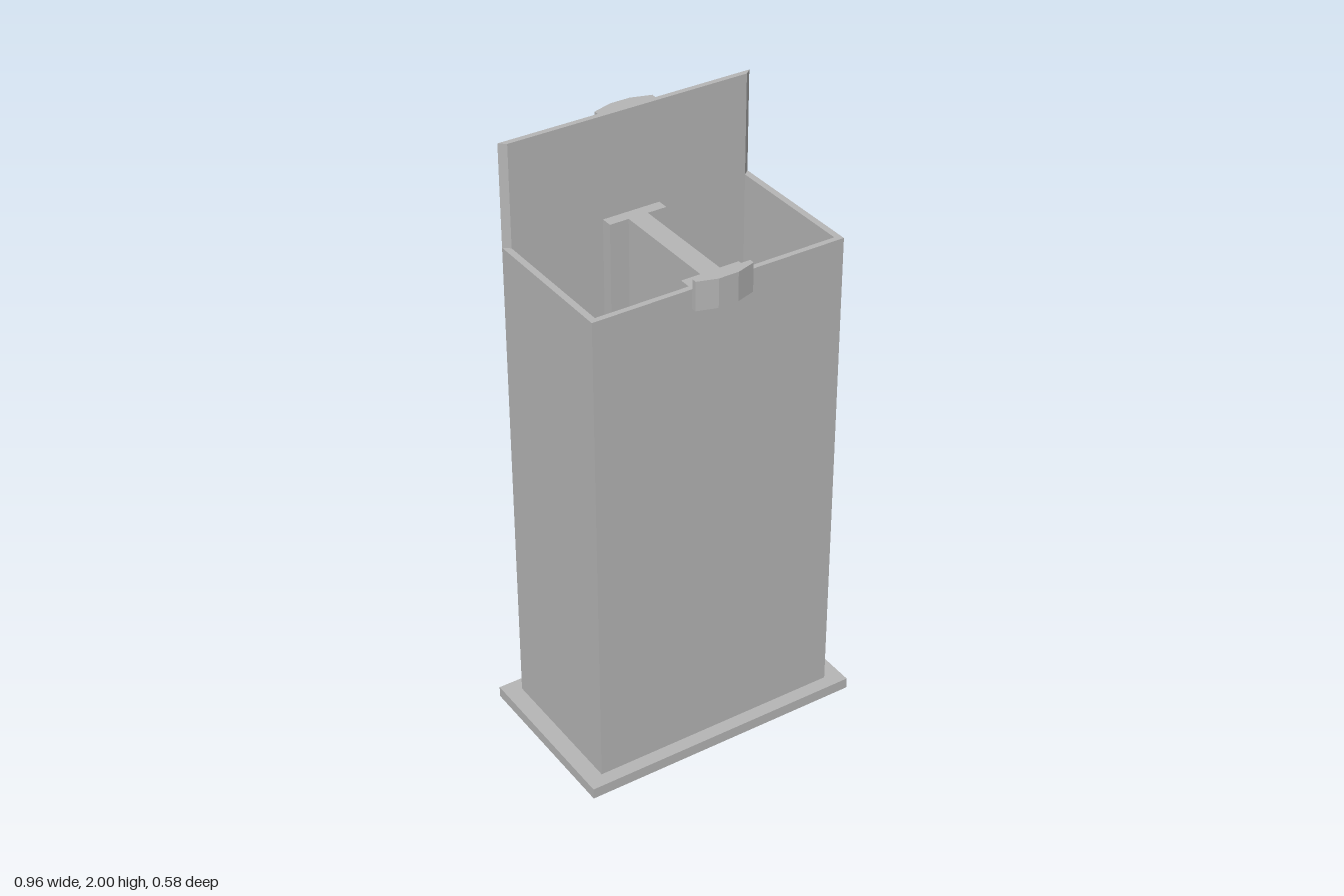
import * as THREE from 'three';

const grey = new THREE.MeshStandardMaterial({ color: 0xb6b6b6 });
grey.name = 'plain grey';

// Plan outline given as [x, z] points, raised from y0 to y1
function prism(name, points, y0, y1, hole) {
  const toVec = ([x, z]) => new THREE.Vector2(x, -z);
  const shape = new THREE.Shape(points.map(toVec));
  if (hole) shape.holes.push(new THREE.Path(hole.map(toVec)));
  const geo = new THREE.ExtrudeGeometry(shape, { depth: y1 - y0, bevelEnabled: false });
  geo.rotateX(-Math.PI / 2).translate(0, y0, 0);
  const mesh = new THREE.Mesh(geo, grey);
  mesh.name = name;
  return mesh;
}

const rect = (x0, x1, z0, z1) => [[x0, z0], [x0, z1], [x1, z1], [x1, z0]];

// Faceted bow-fronted block, side = 1 for front and -1 for back
function bowBlock(name, side, y0, y1) {
  const pts = [[-0.097, 0.243], [-0.097, 0.26], [-0.033, 0.28], [0.033, 0.28], [0.097, 0.26], [0.097, 0.243]];
  return prism(name, pts.map(([x, z]) => [x, z * side]), y0, y1);
}

export function createModel() {
  const model = new THREE.Group();
  model.name = 'openBox';
  const X = 0.423, IX = 0.402, Z = 0.243, IZ = 0.225, BASE = 0.037, RIM = 1.668;

  model.add(
    prism('basePlate', rect(-0.48, 0.48, -0.288, 0.288), 0, BASE),
    prism('boxWalls', rect(-X, X, -Z, Z), BASE, RIM, rect(-IX, IX, -IZ, IZ)),
    // Raised back wall with mitred ends
    prism('backPanel', [[-X, -Z], [-IX, -IZ], [IX, -IZ], [X, -Z]], RIM, 2),
  );

  // I-section divider inside the box
  const half = [[0.097, -IZ], [0.097, -0.187], [0.033, -0.187], [0.033, 0.187], [0.097, 0.187], [0.097, IZ]];
  const other = half.map(([x, z]) => [-x, z]).reverse();
  model.add(prism('innerDivider', [...half, ...other], BASE, RIM));

  // Front and back catches
  model.add(
    bowBlock('frontCatch', 1, 1.605, 1.7),
    bowBlock('backCatch', -1, 1.905, 2),
  );

  // Fittings on the outside of the back panel
  model.add(
    prism('backStem', rect(-0.018, 0.018, -0.269, -0.249), 1.74, 1.905),
    prism('stemFoot', rect(-0.035, 0.035, -0.273, -Z), 1.703, 1.742),
    prism('lowerBackPlate', rect(-0.097, 0.097, -0.273, -Z), 1.613, 1.695),
    prism('sidePlaque', rect(0.077, 0.39, -0.278, -Z), 1.705, 1.847),
  );
  return model;
}
